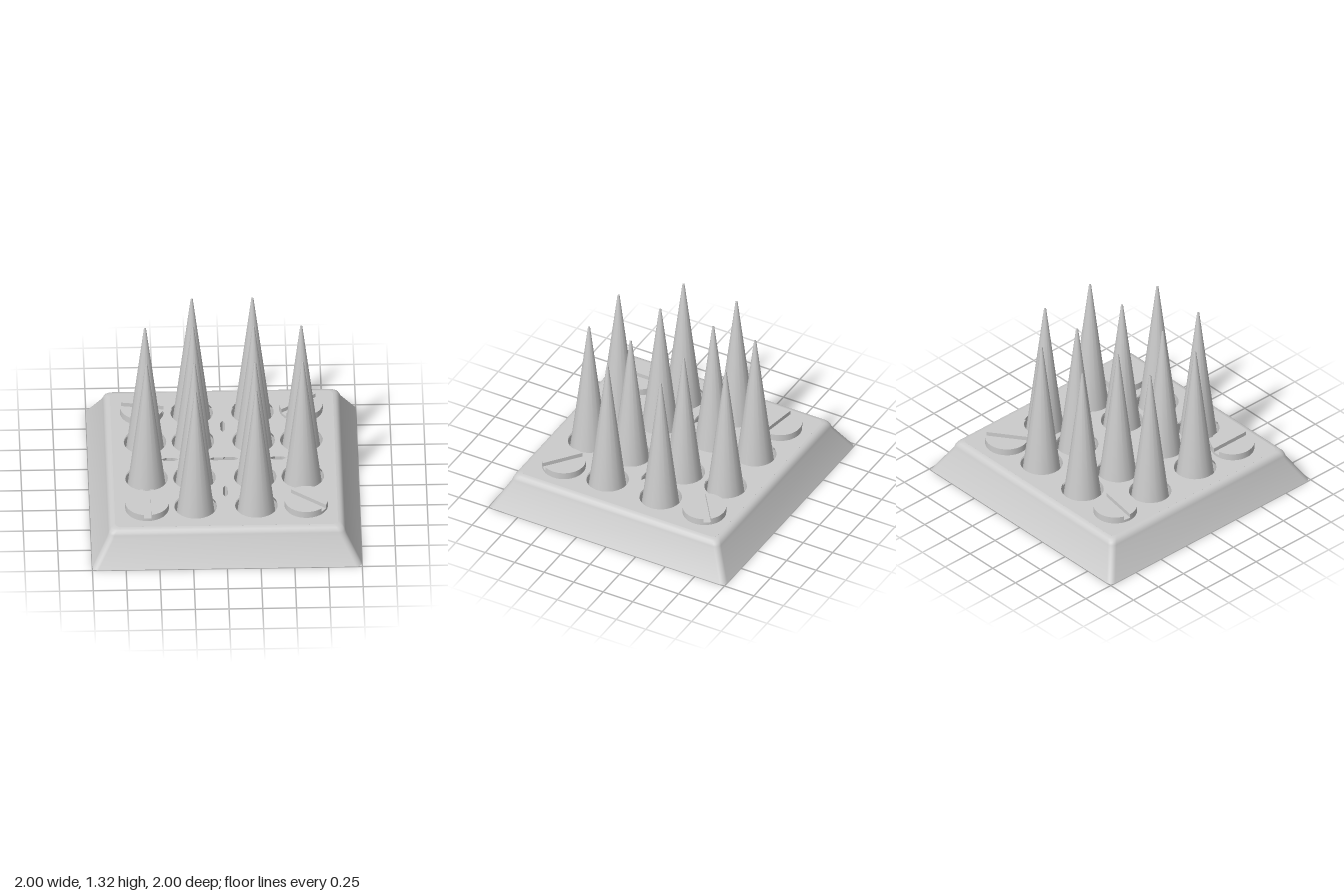
import * as THREE from 'three';
import { toCreasedNormals } from 'three/addons/utils/BufferGeometryUtils.js';

const grey = new THREE.MeshStandardMaterial({ color: 0xcccccc });
const greyOpen = new THREE.MeshStandardMaterial({ color: 0xcccccc, side: THREE.DoubleSide });
const TOP = 0.268, CEILING = 0.25;

// Extrudes a shape upward from y0 to y1 (shape y becomes -z)
function slab(shape, y0, y1, segments = 32) {
  const geo = new THREE.ExtrudeGeometry(shape, { depth: y1 - y0, bevelEnabled: false, curveSegments: segments });
  geo.rotateX(-Math.PI / 2);
  geo.translate(0, y0, 0);
  return geo;
}

// Rounded square outline as [x, z] points
function roundedSquare(half, radius, steps = 6) {
  const points = [];
  for (let c = 0; c < 4; c++) {
    const mid = Math.PI / 4 + c * Math.PI / 2;
    const cx = Math.sign(Math.cos(mid)) * (half - radius);
    const cz = Math.sign(Math.sin(mid)) * (half - radius);
    for (let i = 0; i <= steps; i++) {
      const a = (c + i / steps) * Math.PI / 2;
      points.push([cx + radius * Math.cos(a), cz + radius * Math.sin(a)]);
    }
  }
  return points;
}

// Sloping skirt: rounded squares lofted from inner top, round the rim, to outer top
function skirtGeometry() {
  const profile = [
    [0.855, CEILING], [0.985, 0], [1, 0], [0.885, 0.2], [0.878, 0.225],
    [0.87, 0.243], [0.857, 0.257], [0.842, 0.265], [0.825, TOP],
  ];
  const rings = profile.map(([half, y]) => roundedSquare(half, 0.045).map(([x, z]) => [x, y, z]));
  const n = rings[0].length, positions = [];
  for (let i = 0; i < rings.length - 1; i++) {
    for (let j = 0; j < n; j++) {
      const k = (j + 1) % n;
      const a = rings[i][j], b = rings[i][k], c = rings[i + 1][j], d = rings[i + 1][k];
      positions.push(...a, ...c, ...b, ...c, ...d, ...b);
    }
  }
  const geo = new THREE.BufferGeometry();
  geo.setAttribute('position', new THREE.Float32BufferAttribute(positions, 3));
  return toCreasedNormals(geo, 0.5);
}

// Narrow slot outline with pointed ends
function slotPoints(x, z, length, alongZ) {
  const l = length / 2, w = 0.018, s = l - 0.03;
  return [[-l, 0], [-s, -w], [s, -w], [l, 0], [s, w], [-s, w]].map(([u, v]) =>
    alongZ ? new THREE.Vector2(x + v, -(z + u)) : new THREE.Vector2(x + u, -(z + v)));
}

// Open vertical wall following an outline from y0 to y1
function sleeveGeometry(points, y0, y1) {
  const positions = [];
  points.forEach((p, i) => {
    const q = points[(i + 1) % points.length];
    const a = [p.x, y0, -p.y], b = [q.x, y0, -q.y], c = [p.x, y1, -p.y], d = [q.x, y1, -q.y];
    positions.push(...a, ...b, ...c, ...b, ...d, ...c);
  });
  const geo = new THREE.BufferGeometry();
  geo.setAttribute('position', new THREE.Float32BufferAttribute(positions, 3));
  geo.computeVertexNormals();
  return geo;
}

// Slotted screw head: a disc with two raised segments
function createScrew() {
  const screw = new THREE.Group();
  const r = 0.162, a = Math.asin(0.028 / r);
  const disc = new THREE.Mesh(new THREE.CylinderGeometry(r, r, 0.045, 40), grey);
  disc.name = 'screwDisc';
  disc.position.y = 0.2675;
  screw.add(disc);
  for (const turn of [0, Math.PI]) {
    const shape = new THREE.Shape();
    shape.absarc(0, 0, r, a, Math.PI - a, false);
    shape.closePath();
    const half = new THREE.Mesh(toCreasedNormals(slab(shape, 0.29, 0.322), 0.5), grey);
    half.name = 'screwHeadHalf';
    half.rotation.y = turn;
    screw.add(half);
  }
  return screw;
}

export function createModel() {
  const model = new THREE.Group();
  model.name = 'spikePlate';
  const add = (name, geo, material = grey) => {
    const mesh = new THREE.Mesh(geo, material);
    mesh.name = name;
    model.add(mesh);
    return mesh;
  };

  // Spikes fill a 4 x 4 grid except its corners
  const grid = [-0.58, -0.225, 0.225, 0.578], spots = [];
  grid.forEach((x, i) => grid.forEach((z, j) => {
    const corner = (i === 0 || i === 3) && (j === 0 || j === 3);
    if (!corner) spots.push([x, z]);
  }));
  const slots = [
    [0, 0, 0.22, false], [-0.4, 0, 0.13, false], [0.4, 0, 0.13, false],
    [0, -0.4, 0.14, true], [0, 0.4, 0.14, true],
  ];

  add('skirt', skirtGeometry());

  // Pierced top plate
  const plate = new THREE.Shape(roundedSquare(0.856, 0.045).map(([x, z]) => new THREE.Vector2(x * 0.965, -z * 0.965)));
  for (const [x, z] of spots) {
    const hole = new THREE.Path();
    hole.absarc(x, -z, 0.158, 0, Math.PI * 2, true);
    plate.holes.push(hole);
  }
  for (const slot of slots) plate.holes.push(new THREE.Path(slotPoints(...slot)));
  add('topPlate', toCreasedNormals(slab(plate, CEILING, TOP, 16), 0.5));

  // Underside closing strip between plate and skirt
  const strip = new THREE.Shape(roundedSquare(0.856, 0.045).map(([x, z]) => new THREE.Vector2(x, -z)));
  strip.holes.push(new THREE.Path(roundedSquare(0.824, 0.045).map(([x, z]) => new THREE.Vector2(x, -z))));
  add('ceilingEdge', slab(strip, CEILING, CEILING + 0.005));

  // Spikes, each in an open sleeve below the plate
  const spikeGeo = new THREE.LatheGeometry(
    [[0.15, 0.14], [0.134, 0.268], [0.008, 1.315], [0, 1.32]].map(([r, y]) => new THREE.Vector2(r, y)), 16);
  const sleeveGeo = new THREE.CylinderGeometry(0.158, 0.158, CEILING, 32, 1, true);
  for (const [x, z] of spots) {
    add('spike', spikeGeo, greyOpen).position.set(x, 0, z);
    add('spikeSleeve', sleeveGeo, greyOpen).position.set(x, CEILING / 2, z);
  }

  // Slot walls reaching down from the plate
  for (const slot of slots) add('slotSleeve', sleeveGeometry(slotPoints(...slot), 0.01, CEILING), greyOpen);

  // Corner screws, each turned differently
  const screws = [[-0.595, -0.588, -0.16], [0.585, -0.6, 0.63], [-0.585, 0.595, Math.PI / 2], [0.595, 0.585, -0.66]];
  for (const [x, z, turn] of screws) {
    const screw = createScrew();
    screw.name = 'screw';
    screw.position.set(x, 0, z);
    screw.rotation.y = turn;
    model.add(screw);
  }
  return model;
}
